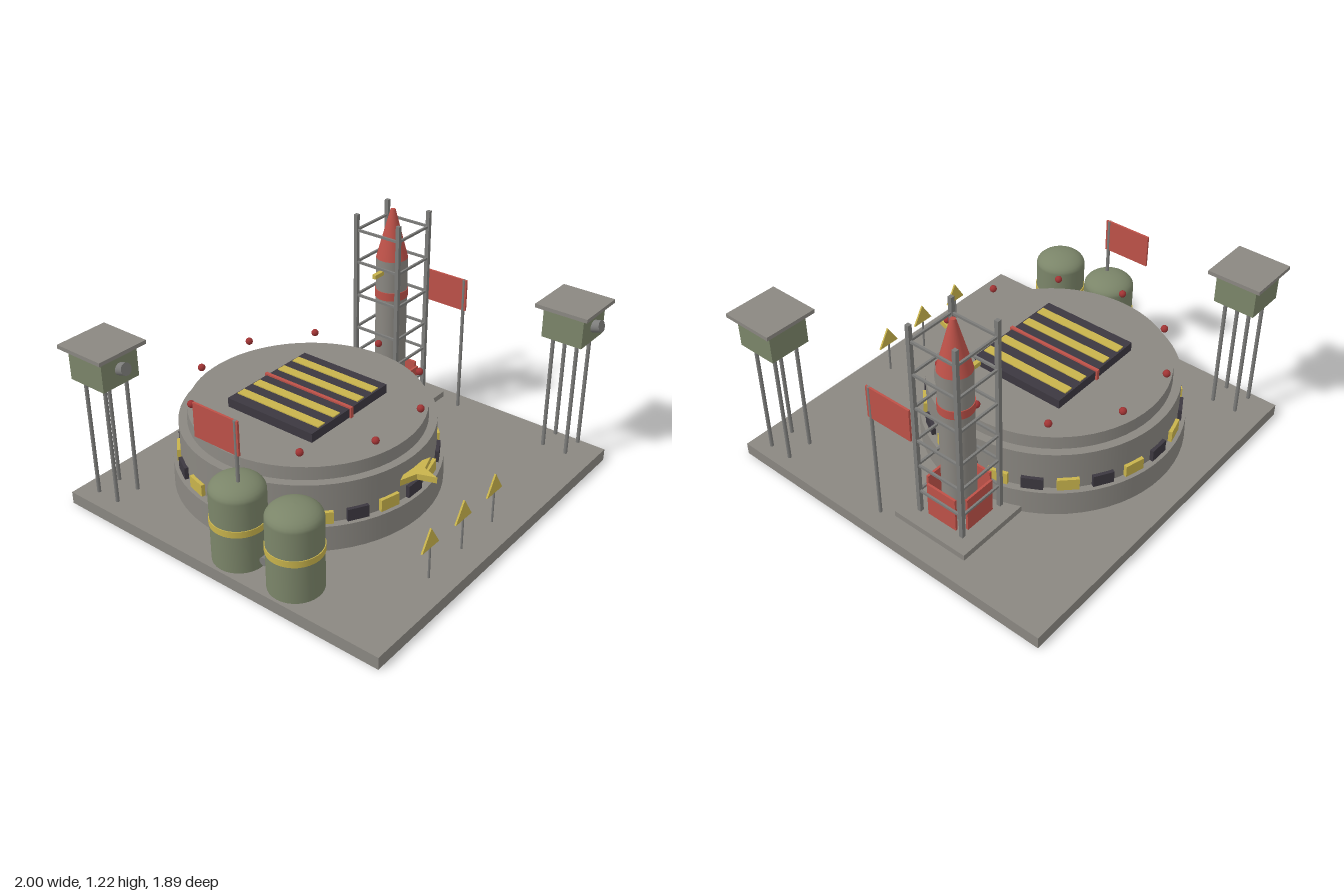
import * as THREE from 'three';

const mat = (name, color) => {
  const m = new THREE.MeshStandardMaterial({ color });
  m.name = name;
  return m;
};

export function createModel() {
  const root = new THREE.Group();
  root.name = 'missileBase';
  const concrete = mat('concrete', 0x8a8781);
  const steel = mat('steel', 0x7c7c7a);
  const dark = mat('charcoal', 0x3c3840);
  const yellow = mat('yellow', 0xc8b34c);
  const red = mat('red', 0xbd5148);
  const lampRed = mat('lampRed', 0xa03434);
  const green = mat('olive', 0x7b8569);

  const group = (name, x = 0, y = 0, z = 0) => {
    const g = new THREE.Group();
    g.name = name;
    g.position.set(x, y, z);
    root.add(g);
    return g;
  };
  const add = (parent, name, geo, material, x, y, z) => {
    const m = new THREE.Mesh(geo, material);
    m.name = name;
    m.position.set(x, y, z);
    parent.add(m);
    return m;
  };
  // box given by centre x/z and bottom/top heights
  const box = (p, name, material, x, z, w, d, y0, y1) =>
    add(p, name, new THREE.BoxGeometry(w, y1 - y0, d), material, x, (y0 + y1) / 2, z);
  // upright cylinder or cone frustum
  const cyl = (p, name, material, x, z, rBottom, rTop, y0, y1, seg = 32) =>
    add(p, name, new THREE.CylinderGeometry(rTop, rBottom, y1 - y0, seg), material, x, (y0 + y1) / 2, z);

  // Ground slab
  box(root, 'groundSlab', concrete, -0.005, -0.005, 1.97, 1.89, 0, 0.065);

  // Round bunker in three tiers
  const bunker = group('bunker', -0.133, 0, -0.137);
  cyl(bunker, 'lowerTier', concrete, 0, 0, 0.675, 0.672, 0.09, 0.222, 64);
  cyl(bunker, 'middleTier', concrete, 0, 0, 0.635, 0.635, 0.222, 0.428, 64);
  cyl(bunker, 'upperTier', concrete, 0, 0, 0.592, 0.588, 0.428, 0.495, 64);

  // Alternating hazard blocks round the wall
  for (let i = 0; i < 24; i++) {
    const a = (i * Math.PI) / 12;
    const b = box(bunker, 'hazardBlock', i % 2 ? yellow : dark,
      Math.sin(a) * 0.642, Math.cos(a) * 0.642, 0.105, 0.02, 0.223, 0.286);
    b.rotation.y = a;
  }

  // Warning lamps above the rim
  const lampGeo = new THREE.SphereGeometry(0.019, 16, 10);
  for (let i = 0; i < 10; i++) {
    const a = (i * Math.PI) / 5;
    add(bunker, 'warningLamp', lampGeo, lampRed, Math.cos(a) * 0.572, 0.564, Math.sin(a) * 0.572);
  }

  // Striped silo hatch
  box(bunker, 'hatch', dark, 0, 0, 0.577, 0.524, 0.495, 0.543);
  for (const x of [-0.205, -0.092, 0.092, 0.205]) {
    box(bunker, 'hatchStripe', yellow, x, 0, 0.049, 0.505, 0.542, 0.549);
  }
  box(bunker, 'hatchSeam', red, 0, 0, 0.017, 0.545, 0.495, 0.552);

  // Flat four-pointed star ledge on the front wall
  const star = new THREE.Shape();
  for (let i = 0; i < 8; i++) {
    const r = i % 2 ? 0.044 : 0.122, a = (i * Math.PI) / 4;
    star[i ? 'lineTo' : 'moveTo'](Math.cos(a) * r, Math.sin(a) * r);
  }
  const starGeo = new THREE.ExtrudeGeometry(star, { depth: 0.032, bevelEnabled: false });
  starGeo.rotateX(-Math.PI / 2);
  add(bunker, 'starLedge', starGeo, yellow, 0, 0.328, 0.647);

  // Rocket on its launch pad
  const launch = group('launchSite', 0.658, 0, -0.219);
  box(launch, 'launchPad', concrete, 0, 0, 0.432, 0.432, 0.09, 0.122);
  cyl(launch, 'rocketBody', concrete, 0, 0, 0.083, 0.083, 0.122, 0.957);
  cyl(launch, 'rocketNose', red, 0, 0, 0.083, 0.013, 0.957, 1.22);
  cyl(launch, 'rocketBand', red, 0, 0, 0.087, 0.087, 0.738, 0.783);
  box(launch, 'serviceArm', yellow, -0.115, 0, 0.08, 0.022, 0.884, 0.906);

  // Gantry: four posts, rungs on each side, blast plates at the foot
  const h = 0.131;
  for (const s of [-1, 1]) {
    for (const t of [-1, 1]) box(launch, 'gantryPost', steel, s * h, t * h, 0.021, 0.021, 0.12, 1.2);
    for (const y of [0.25, 0.41, 0.56, 0.75, 0.938, 1.115]) {
      box(launch, 'gantryRungX', steel, 0, s * h, 2 * h, 0.011, y - 0.006, y + 0.006);
      box(launch, 'gantryRungZ', steel, s * h, 0, 0.011, 2 * h, y - 0.006, y + 0.006);
    }
    box(launch, 'blastPlateX', red, 0, s * 0.12, 0.172, 0.012, 0.122, 0.31);
    box(launch, 'blastPlateZ', red, s * 0.12, 0, 0.012, 0.172, 0.122, 0.31);
  }

  // Fuel tanks with rounded tops
  const profile = [new THREE.Vector2(0, 0.085), new THREE.Vector2(0.132, 0.085), new THREE.Vector2(0.132, 0.085)];
  for (let i = 0; i <= 8; i++) {
    const a = (i * Math.PI) / 16;
    profile.push(new THREE.Vector2(i === 8 ? 0 : 0.132 * Math.cos(a), 0.455 + 0.067 * Math.sin(a)));
  }
  const tankGeo = new THREE.LatheGeometry(profile, 32);
  for (const z of [0.06, 0.39]) {
    const tank = group('fuelTank', -0.86, 0, z);
    add(tank, 'tankShell', tankGeo, green, 0, 0, 0);
    cyl(tank, 'tankBand', yellow, 0, 0, 0.136, 0.136, 0.283, 0.316);
  }
  const pipe = cyl(root, 'fuelPipe', steel, 0, 0, 0.022, 0.022, 0, 0.2, 16);
  pipe.rotation.z = Math.PI / 2;
  pipe.position.set(-0.78, 0.135, 0.216);

  // Flags on both sides
  for (const x of [-0.882, 0.88]) {
    const flag = group('flag', x, 0, 0);
    cyl(flag, 'flagPole', steel, 0, 0.09, 0.009, 0.009, 0.065, 0.83, 10);
    box(flag, 'flagCloth', red, 0, -0.024, 0.011, 0.262, 0.655, 0.83);
  }

  // Watchtowers at opposite corners
  for (const [x, z] of [[-0.858, -0.755], [0.857, 0.745]]) {
    const tower = group('watchtower', x, 0, z);
    for (const s of [-1, 1]) {
      for (const t of [-1, 1]) cyl(tower, 'towerLeg', steel, s * 0.066, t * 0.066, 0.01, 0.01, 0.09, 0.73, 10);
    }
    box(tower, 'towerCabin', green, 0, 0, 0.218, 0.22, 0.73, 0.88);
    box(tower, 'towerRoof', concrete, 0, 0, 0.284, 0.284, 0.893, 0.913);
    const light = cyl(tower, 'searchlight', steel, 0, 0, 0.031, 0.031, 0, 0.055, 20);
    light.position.set(0, 0.818, 0.127);
    light.rotation.x = Math.PI / 2 - 0.27;
  }

  // Triangular warning signs along the front
  const tri = new THREE.Shape([[-0.065, 0], [0.065, 0], [0, 0.105]].map(p => new THREE.Vector2(...p)));
  const triGeo = new THREE.ExtrudeGeometry(tri, { depth: 0.009, bevelEnabled: false });
  for (const x of [-0.442, -0.178, 0.086]) {
    const sign = group('warningSign', x, 0, 0.81);
    cyl(sign, 'signPost', steel, 0, 0, 0.0055, 0.0055, 0.065, 0.237, 8);
    add(sign, 'signPlate', triGeo, yellow, 0, 0.234, -0.0045);
  }

  return root;
}
